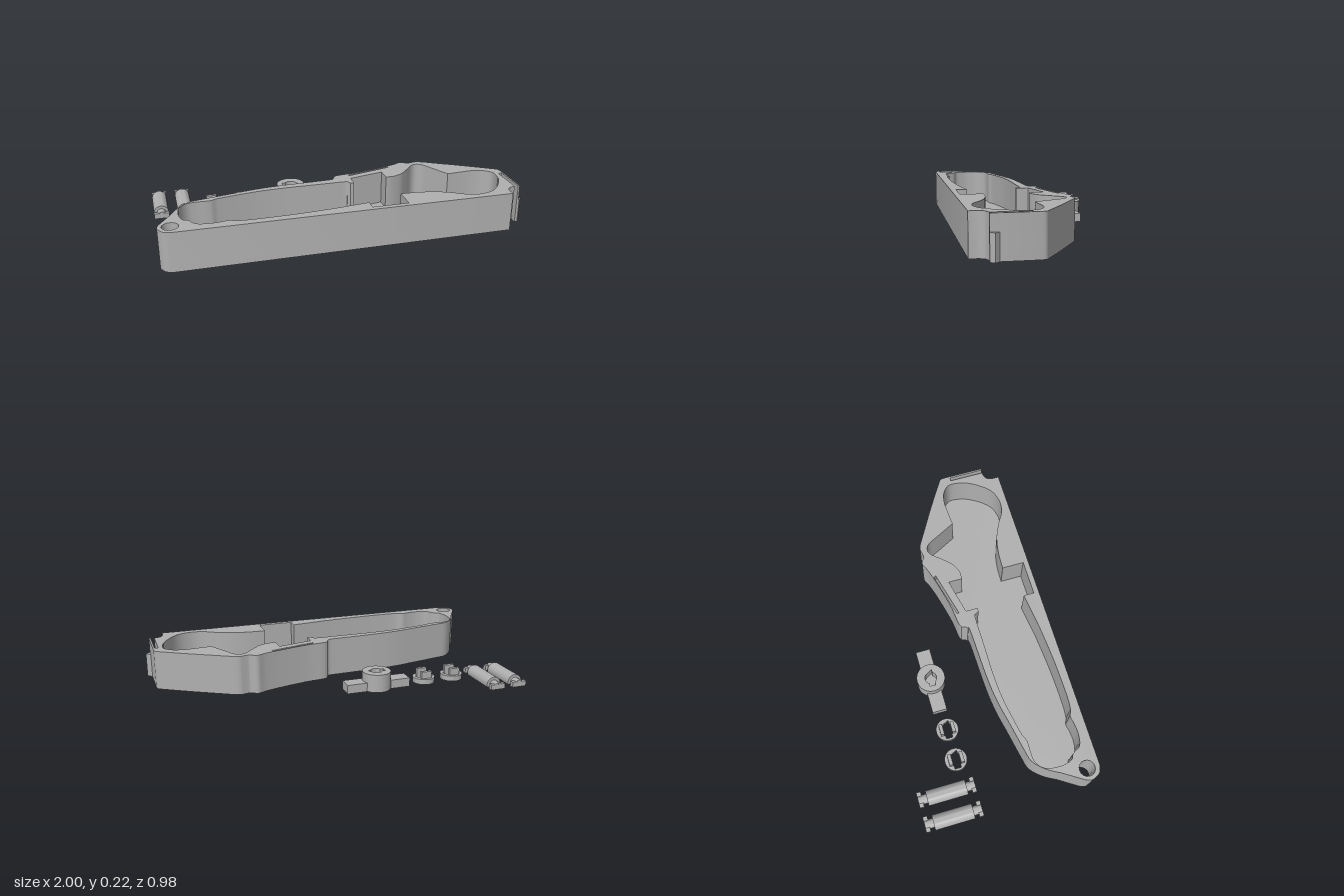
import * as THREE from 'three';
import { toCreasedNormals } from 'three/addons/utils/BufferGeometryUtils.js';

const grey = new THREE.MeshStandardMaterial({ color: 0xb0b0b0 });
grey.name = 'plain grey';

// Plan outlines are lists of runs of [x, z]: each run is a smooth curve, runs meet at corners
function plan(path, runs) {
  runs.forEach((run, i) => {
    const pts = run.map(([x, z]) => new THREE.Vector2(x, -z));
    if (i === 0) path.moveTo(pts[0].x, pts[0].y);
    else path.lineTo(pts[0].x, pts[0].y);
    if (pts.length > 1) path.splineThru(pts.slice(1));
  });
  path.closePath();
  return path;
}
const corners = (...pts) => pts.map((p) => [p]);
const circle = (path, x, z, r) => path.absarc(x, -z, r, 0, Math.PI * 2, false);

function named(mesh, name, parent) {
  mesh.name = name;
  parent.add(mesh);
  return mesh;
}

// Upright slab of a plan shape between two heights
function slab(parent, name, shape, y0, y1, seg = 8) {
  const g = new THREE.ExtrudeGeometry(shape, { depth: y1 - y0, bevelEnabled: false, curveSegments: seg });
  g.rotateX(-Math.PI / 2).translate(0, y0, 0);
  return named(new THREE.Mesh(toCreasedNormals(g, 0.6), grey), name, parent);
}

function box(parent, name, w, h, d, x, y, z) {
  const m = named(new THREE.Mesh(new THREE.BoxGeometry(w, h, d), grey), name, parent);
  m.position.set(x, y, z);
  return m;
}

// Case outline, with the springy latch strip left free at the right end
const outline = [
  [[-0.935, 0.485]], [[0.89, 0.485]],
  [[0.89, 0.44], [0.905, 0.41], [0.94, 0.397]],
  ...corners([0.945, 0.397], [0.945, 0.2], [0.965, 0.2], [0.965, 0.4], [0.975, 0.4]),
  [[0.975, 0.165], [0.968, 0.14], [0.94, 0.12], [0.8, 0.035], [0.66, -0.045], [0.58, -0.09],
    [0.55, -0.1], [0.52, -0.095], [0.495, -0.092], [0.475, -0.104], [0.45, -0.112],
    [0.4, -0.09], [0.3, -0.06], [0.15, -0.025], [0.045, -0.012], [0.015, 0]],
  [[0.01, 0.015], [0, 0.03], [-0.03, 0.04], [-0.3, 0.05], [-0.45, 0.065], [-0.6, 0.095],
    [-0.75, 0.125], [-0.81, 0.14], [-0.85, 0.17], [-0.89, 0.22], [-0.92, 0.275]],
  [[-0.99, 0.385], [-1, 0.42], [-0.985, 0.458], [-0.965, 0.476], [-0.935, 0.485]],
];

const cavity = [
  [[-0.885, 0.27], [-0.88, 0.22], [-0.86, 0.185], [-0.83, 0.162], [-0.79, 0.155], [-0.71, 0.155],
    [-0.67, 0.14], [-0.6, 0.125], [-0.45, 0.1], [-0.3, 0.09], [-0.1, 0.09], [0.05, 0.09],
    [0.068, 0.1], [0.08, 0.118]],
  ...corners([0.1, 0.118], [0.1, 0.05], [0.3, 0.005], [0.3, 0.085]),
  [[0.345, 0.085], [0.4, 0.06], [0.45, 0.01], [0.5, -0.047], [0.535, -0.06], [0.57, -0.04],
    [0.605, 0.025], [0.66, 0.13]],
  [[0.8, 0.12], [0.86, 0.13], [0.905, 0.16], [0.92, 0.2], [0.905, 0.28], [0.86, 0.36],
    [0.8, 0.42], [0.72, 0.443], [0.65, 0.43], [0.58, 0.39], [0.5, 0.355], [0.4, 0.335], [0.3, 0.33]],
  ...corners([0.3, 0.455], [0.1, 0.455], [0.1, 0.395]),
  [[-0.1, 0.42], [-0.3, 0.435], [-0.5, 0.44], [-0.6, 0.435], [-0.645, 0.42], [-0.69, 0.427],
    [-0.75, 0.43], [-0.81, 0.415], [-0.84, 0.37], [-0.87, 0.35], [-0.885, 0.3]],
];

const edgeSlot = corners([0.1, -0.003], [0.355, -0.07], [0.36, -0.057], [0.1, 0.009]);

function addCase(parent) {
  const g = named(new THREE.Group(), 'case', parent);
  const body = () => {
    const s = plan(new THREE.Shape(), outline);
    s.holes.push(circle(new THREE.Path(), -0.935, 0.415, 0.043));
    return s;
  };
  slab(g, 'caseFloor', body(), 0, 0.03);
  const rim = body();
  rim.holes.push(plan(new THREE.Path(), cavity), plan(new THREE.Path(), edgeSlot));
  slab(g, 'caseWall', rim, 0.03, 0.22);
  // Wedge-shaped catch on the latch strip
  slab(g, 'latchCatch', plan(new THREE.Shape(), corners([0.974, 0.4], [0.98, 0.4], [1, 0.378], [0.974, 0.352])), 0, 0.135);
}

// Round key hole with a slot reaching out along x on both sides
function keyHole(r, reach, half) {
  const p = new THREE.Path();
  const a = Math.asin(half / r);
  p.moveTo(reach, half);
  p.absarc(0, 0, r, a, Math.PI - a, false);
  p.lineTo(-reach, half);
  p.lineTo(-reach, -half);
  p.absarc(0, 0, r, Math.PI + a, Math.PI * 2 - a, false);
  p.lineTo(reach, -half);
  p.closePath();
  return p;
}

// Turning knob with a blind key hole and two side arms
function addKnob(parent) {
  const g = named(new THREE.Group(), 'knob', parent);
  g.position.set(-0.19, 0, -0.242);
  slab(g, 'knobBase', circle(new THREE.Shape(), 0, 0, 0.08), 0, 0.03, 24);
  const hub = circle(new THREE.Shape(), 0, 0, 0.08);
  hub.holes.push(keyHole(0.033, 0.047, 0.016));
  slab(g, 'knobHub', hub, 0.03, 0.102, 24);
  for (const s of [-1, 1]) box(g, 'knobArm', 0.115, 0.05, 0.083, s * 0.1285, 0.025, 0);
}

// Ring washer with two upright tabs
function addRing(parent, x) {
  const g = named(new THREE.Group(), 'ring', parent);
  g.position.set(x, 0, -0.23);
  const s = circle(new THREE.Shape(), 0, 0, 0.063);
  s.holes.push(keyHole(0.038, 0.05, 0.018));
  slab(g, 'ringDisc', s, 0, 0.03, 20);
  for (const k of [-1, 1]) box(g, 'ringTab', 0.06, 0.07, 0.02, 0, 0.035, k * 0.033);
}

// Rod lying along z: a round bar cut flat underneath
function flatRod(parent, name, r, z0, z1) {
  const cy = 0.0125;
  const a = Math.asin(cy / r);
  const s = new THREE.Shape();
  s.absarc(0, cy, r, -a, Math.PI + a, false);
  s.closePath();
  const geo = new THREE.ExtrudeGeometry(s, { depth: z1 - z0, bevelEnabled: false, curveSegments: 16 });
  geo.translate(0, 0, z0);
  named(new THREE.Mesh(toCreasedNormals(geo, 0.6), grey), name, parent);
}

function addPin(parent, x) {
  const g = named(new THREE.Group(), 'pin', parent);
  g.position.set(x, 0, -0.328);
  flatRod(g, 'pinBarrel', 0.0425, -0.112, 0.112);
  for (const s of [-1, 1]) {
    flatRod(g, 'pinNeck', 0.026, s > 0 ? 0.112 : -0.161, s > 0 ? 0.161 : -0.112);
    box(g, 'pinCrossbar', 0.085, 0.03, 0.025, 0, 0.015, s * 0.1495);
  }
}

export function createModel() {
  const model = new THREE.Group();
  model.name = 'latchedCaseKit';
  addCase(model);
  addKnob(model);
  for (const x of [-0.663, -0.487]) addRing(model, x);
  for (const x of [-0.957, -0.822]) addPin(model, x);
  return model;
}
